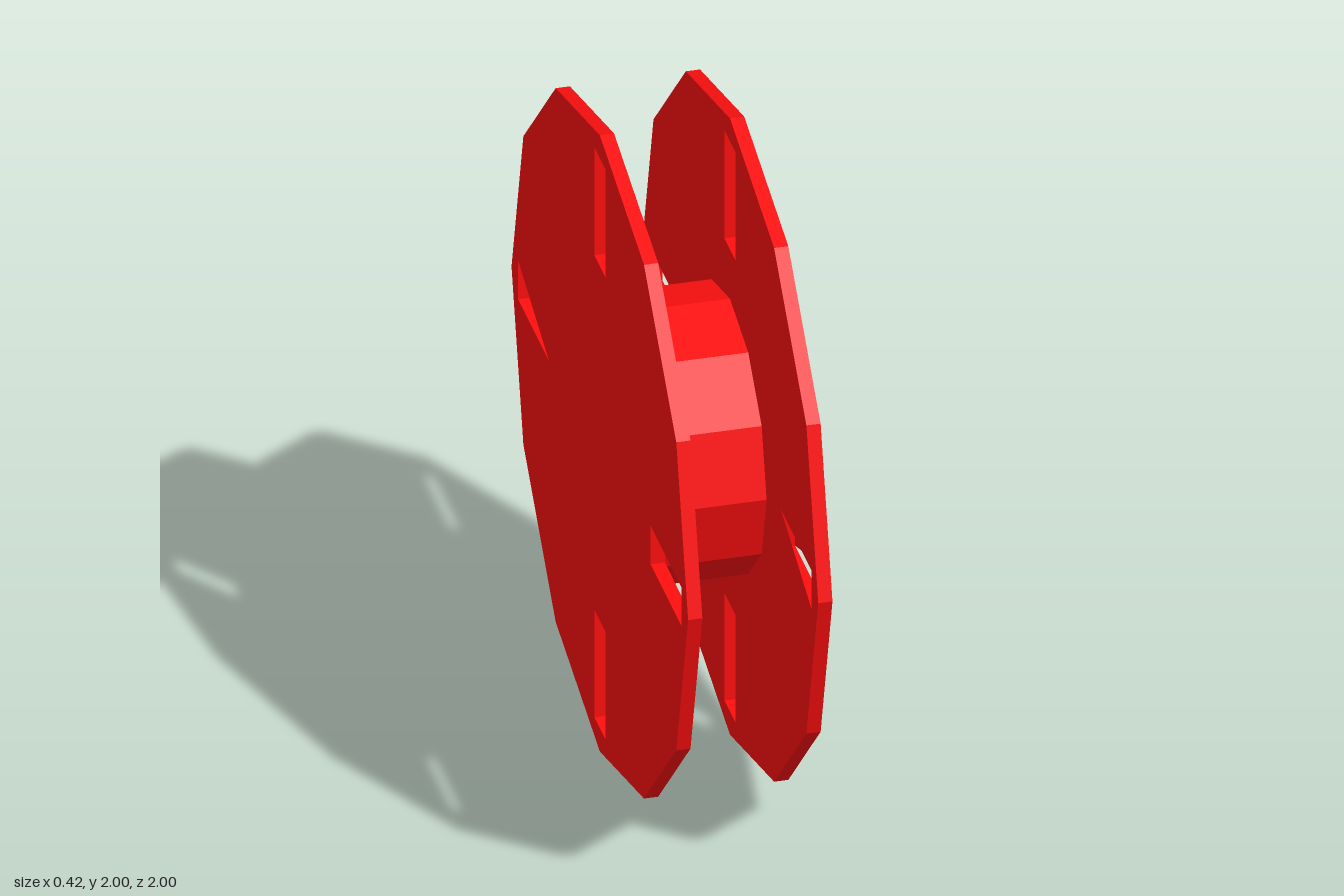
import * as THREE from 'three';

const SIDES = 12;
const INNER = 0.167, OUTER = 0.208;         // faces of each disc along the axle
const HUB_RADIUS = 0.415;
const SLOT_NEAR = 0.575, SLOT_FAR = 0.925, SLOT_HALF = 0.0625;

function slotPath(angle) {
  const corners = [
    [SLOT_NEAR, -SLOT_HALF], [SLOT_NEAR, SLOT_HALF],
    [SLOT_FAR, SLOT_HALF], [SLOT_FAR, -SLOT_HALF],
  ];
  return new THREE.Path(corners.map(([x, y]) =>
    new THREE.Vector2(x, y).rotateAround(new THREE.Vector2(), angle)));
}

function mesh(name, geometry, material) {
  const m = new THREE.Mesh(geometry, material);
  m.name = name;
  return m;
}

// thin triangle lying across a slot at the given depth
function web(corners, depth) {
  const g = new THREE.BufferGeometry();
  const points = corners.flatMap(([x, y]) => [x, y, depth]);
  g.setAttribute('position', new THREE.Float32BufferAttribute(points, 3));
  g.computeVertexNormals();
  return g;
}

function createDisc(name, material) {
  const disc = new THREE.Group();
  disc.name = name;

  // twelve-sided plate with four radial slots
  const outline = [];
  for (let i = 0; i < SIDES; i++) {
    const a = (i / SIDES) * Math.PI * 2;
    outline.push(new THREE.Vector2(Math.cos(a), Math.sin(a)));
  }
  const shape = new THREE.Shape(outline);
  for (let i = 0; i < 4; i++) shape.holes.push(slotPath(i * Math.PI / 2));
  const plate = new THREE.ExtrudeGeometry(shape, { depth: OUTER - INNER, bevelEnabled: false });

  // one slot is half closed on each face, along opposite diagonals
  const n = -SLOT_NEAR, f = -SLOT_FAR, h = SLOT_HALF;
  const outerWeb = web([[f, h], [n, -h], [n, h]], OUTER - INNER);
  const innerWeb = web([[n, h], [n, -h], [f, -h]], 0);

  const parts = { plate, outerSlotWeb: outerWeb, innerSlotWeb: innerWeb };
  for (const [part, geometry] of Object.entries(parts)) {
    geometry.translate(0, 0, INNER).rotateY(Math.PI / 2);
    disc.add(mesh(part, geometry, material));
  }
  return disc;
}

export function createModel() {
  const material = new THREE.MeshStandardMaterial({
    color: 0xff0f0f, flatShading: true, side: THREE.DoubleSide,
  });
  const model = new THREE.Group();
  model.name = 'spool';

  // hub between the discs
  const hub = new THREE.CylinderGeometry(HUB_RADIUS, HUB_RADIUS, INNER * 2, SIDES, 1, true);
  hub.rotateZ(Math.PI / 2);
  model.add(mesh('hub', hub, material));

  // two identical discs, half a turn apart
  const left = createDisc('leftDisc', material);
  const right = createDisc('rightDisc', material);
  right.rotation.y = Math.PI;
  model.add(left, right);

  for (const part of model.children) part.position.y = 1;
  return model;
}
